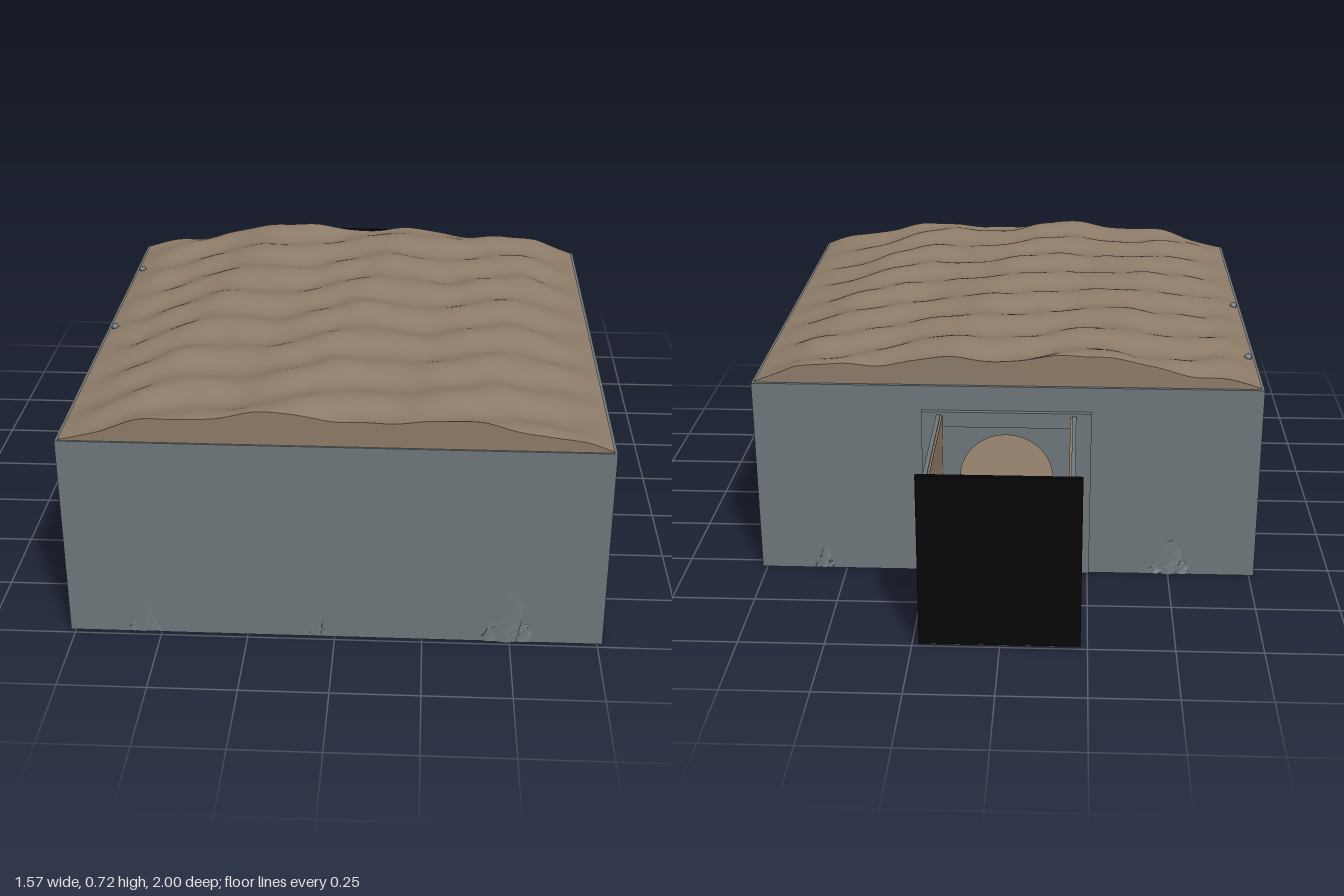
import * as THREE from 'three';

const stone = new THREE.MeshStandardMaterial({ color: 0x6e777b, side: THREE.DoubleSide });
stone.name = 'grey stone';
const earth = new THREE.MeshStandardMaterial({ color: 0x8d7b68, side: THREE.DoubleSide });
earth.name = 'brown earth';
const dark = new THREE.MeshStandardMaterial({ color: 0x050505 });
dark.name = 'black';

// Room extents
const HX = 0.765, Z0 = -0.54, Z1 = 0.985, WALL_H = 0.615, T = 0.012;
const CORR_H = 0.53;

// Vaulted, rippled roof height
function roofY(x, z) {
  const u = Math.min(1, Math.abs(x) / 0.76);
  const fade = Math.min(1, (1 - u) * 6);
  const ridge = Math.sin(z * 30 + x * 7 + 0.7 * Math.sin(x * 13 + 1));
  const swell = Math.sin(x * 14 + z * 3 + 0.5);
  const fine = Math.sin(x * 31 - z * 17) * Math.sin(z * 23 + x * 9);
  return 0.617 + 0.086 * (1 - Math.pow(u, 2.6)) + fade * (0.009 * ridge + 0.009 * swell + 0.003 * fine);
}

function seeded(seed) {
  let s = seed * 7919 + 17;
  return () => (s = (s * 16807) % 2147483647) / 2147483647;
}

export function createModel() {
  const model = new THREE.Group();
  const add = (name, geo, mat, parent = model) => {
    const m = new THREE.Mesh(geo, mat);
    m.name = name;
    parent.add(m);
    return m;
  };
  // Box given by its min and max corners
  const box = (name, mat, x0, x1, y0, y1, z0, z1) => {
    const m = add(name, new THREE.BoxGeometry(x1 - x0, y1 - y0, z1 - z0), mat);
    m.position.set((x0 + x1) / 2, (y0 + y1) / 2, (z0 + z1) / 2);
    return m;
  };

  // Room shell
  box('roomFloor', stone, -HX, HX, 0, 0.01, Z0, Z1);
  box('roomEarthFloor', earth, -HX + T, HX - T, 0.01, 0.018, Z0 + T, Z1 - T);
  box('frontWall', stone, -HX, HX, 0.005, WALL_H, Z1 - T, Z1);
  for (const s of [-1, 1]) {
    const x = s * (HX - T / 2);
    box('sideWall', stone, x - T / 2, x + T / 2, 0.005, WALL_H, Z0 + T, Z1 - T);
  }

  // Back wall with an arched doorway
  const back = new THREE.Shape();
  back.moveTo(-HX, 0.005).lineTo(HX, 0.005).lineTo(HX, WALL_H).lineTo(-HX, WALL_H).closePath();
  const door = new THREE.Path();
  door.moveTo(-0.14, 0.018).lineTo(0.14, 0.018).lineTo(0.14, 0.32);
  door.absarc(0, 0.32, 0.14, 0, Math.PI, false);
  door.closePath();
  back.holes.push(door);
  const backGeo = new THREE.ExtrudeGeometry(back, { depth: T, bevelEnabled: false });
  add('backWall', backGeo, stone).position.z = Z0;

  // Rippled roof
  const RX = 0.757, RZ0 = -0.53, RZ1 = 0.98;
  const roof = new THREE.PlaneGeometry(2 * RX, RZ1 - RZ0, 110, 110).rotateX(-Math.PI / 2);
  roof.translate(0, 0, (RZ0 + RZ1) / 2);
  const p = roof.attributes.position;
  for (let i = 0; i < p.count; i++) p.setY(i, roofY(p.getX(i), p.getZ(i)));
  roof.computeVertexNormals();
  add('roof', roof, earth);

  // Gable strips closing the roof ends
  for (const z of [RZ0, RZ1]) {
    const gable = new THREE.PlaneGeometry(2 * RX, 1, 110, 1);
    const g = gable.attributes.position;
    for (let i = 0; i < g.count; i++) g.setY(i, g.getY(i) > 0 ? roofY(g.getX(i), z) : 0.6);
    if (z < 0) {
      gable.rotateY(Math.PI);
      for (let i = 0; i < g.count; i++) if (g.getY(i) > 0.601) g.setY(i, roofY(g.getX(i), z));
    }
    gable.translate(0, 0, z);
    add('roofGable', gable, earth);
  }

  // Entrance corridor, open at the top
  box('corridorFloor', stone, -0.21, 0.21, 0, 0.012, -0.99, Z0);
  box('corridorEarth', earth, -0.19, 0.19, 0.012, 0.02, -0.985, Z0);
  for (const s of [-1, 1]) {
    const x = s * 0.203, xi = s * 0.194;
    box('corridorWall', stone, x - 0.006, x + 0.006, 0.005, CORR_H, -0.988, Z0);
    box('corridorLining', earth, xi - 0.003, xi + 0.003, 0.012, CORR_H - 0.004, -0.985, Z0 - 0.016);
    const f = s * 0.231;
    box('doorFramePost', stone, f - 0.024, f + 0.024, 0.005, CORR_H, Z0 - 0.016, Z0);
  }
  box('doorFrameLintel', stone, -0.255, 0.255, CORR_H - 0.04, CORR_H + 0.008, Z0 - 0.016, Z0);
  box('endDoor', dark, -0.23, 0.23, 0.008, CORR_H, -1, -0.984);

  // Bare stone patches on the corridor floor: x, z, half width, half length
  const patches = [[-0.14, -0.955, 0.05, 0.03], [-0.08, -0.955, 0.02, 0.03], [0.085, -0.915, 0.045, 0.065],
    [0.175, -0.95, 0.013, 0.035], [-0.08, -0.67, 0.016, 0.042], [-0.13, -0.58, 0.035, 0.02], [0.165, -0.6, 0.022, 0.06]];
  for (const [x, z, w, l] of patches) {
    const m = add('stonePatch', new THREE.CircleGeometry(1, 14).rotateX(-Math.PI / 2), stone);
    m.scale.set(w, 1, l);
    m.position.set(x, 0.0215, z);
  }

  // Rugged spires pressed into the walls
  const spire = (group, rnd, x, h, r, depth) => {
    const geo = new THREE.CylinderGeometry(r * 0.42, r, h, 9, 6);
    const q = geo.attributes.position;
    const ph = rnd() * 6;
    for (let i = 0; i < q.count; i++) {
      const t = q.getY(i) / h + 0.5;
      const a = Math.atan2(q.getZ(i), q.getX(i));
      const k = 1 + 0.18 * Math.sin(a * 3 + ph + t * 5) + 0.12 * Math.sin(a * 5 - t * 9);
      q.setXYZ(i, q.getX(i) * k + t * r * 0.25,
        q.getY(i) + (t > 0.95 ? -0.05 * h * (1 + Math.sin(a * 2 + ph)) : 0),
        q.getZ(i) * k * depth / r - t * depth * 0.35);
    }
    const flat = geo.toNonIndexed();
    flat.computeVertexNormals();
    add('spire', flat, stone, group).position.set(x, h / 2 + 0.003, 0);
  };
  const cluster = (seed, x, z, turn, h, w, depth) => {
    const g = new THREE.Group();
    g.name = 'wallRock';
    const rnd = seeded(seed);
    spire(g, rnd, 0, h, w * 0.36, depth);
    for (const s of [-1, 1]) {
      spire(g, rnd, s * w * 0.3, h * (0.3 + 0.2 * rnd()), w * 0.2, depth * 0.8);
    }
    g.position.set(x, 0, z);
    g.rotation.y = turn;
    model.add(g);
  };
  const R = Math.PI / 2;
  // x, z, facing, height, width, depth
  [[HX, 0.75, R, 0.16, 0.13, 0.012], [HX, 0.235, R, 0.38, 0.13, 0.018], [HX, -0.27, R, 0.36, 0.15, 0.018],
    [-HX, 0.73, -R, 0.3, 0.14, 0.017], [-HX, -0.29, -R, 0.36, 0.13, 0.019],
    [-0.55, Z1, 0, 0.1, 0.1, 0.005], [-0.05, Z1, 0, 0.08, 0.05, 0.004], [0.49, Z1, 0, 0.18, 0.15, 0.01],
    [-0.5, Z0, 2 * R, 0.12, 0.13, 0.01], [0.57, Z0, 2 * R, 0.07, 0.06, 0.007],
  ].forEach(([x, z, t, h, w, d], i) => cluster(i + 1, x, z, t, h, w, d));

  // Small stone tips poking through the roof edge
  for (const z of [-0.28, 0.225]) {
    const tip = add('roofTip', new THREE.SphereGeometry(0.012, 8, 6), stone);
    tip.position.set(-0.74, roofY(-0.74, z) + 0.003, z);
  }
  return model;
}
